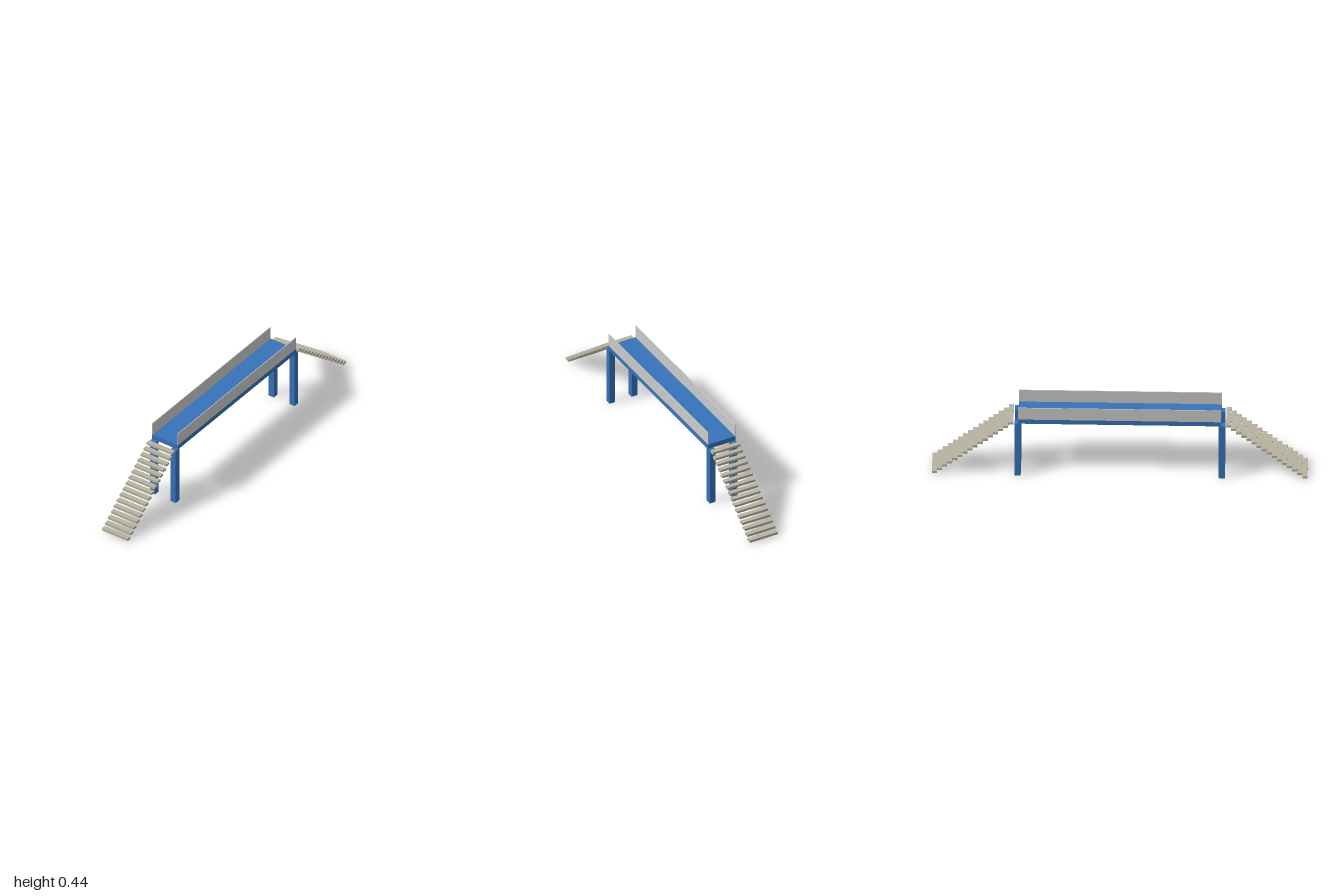
import * as THREE from 'three';

export function createModel() {
  const model = new THREE.Group();
  model.name = 'footbridge';
  const blue = new THREE.MeshStandardMaterial({ color: 0x3773b9 });
  const stone = new THREE.MeshStandardMaterial({ color: 0xb8b2a2 });
  const grey = new THREE.MeshStandardMaterial({ color: 0xcccccc });

  const box = (name, material, size, position, parent = model) => {
    const mesh = new THREE.Mesh(new THREE.BoxGeometry(...size), material);
    mesh.name = name;
    mesh.position.set(...position);
    parent.add(mesh);
  };

  const width = 0.169;
  const deckBottom = 0.339, deckTop = 0.366, deckLength = 1.081;
  const leg = 0.034;

  // Walkway
  box('deck', blue, [width, deckTop - deckBottom, deckLength], [0, (deckTop + deckBottom) / 2, 0]);

  // Side panels along the walkway
  const railHeight = 0.075, railThickness = 0.004;
  for (const side of [-1, 1]) {
    box('railing', grey, [railThickness, railHeight, deckLength],
      [side * (width - railThickness) / 2, deckTop + railHeight / 2, 0]);
  }

  // Square legs at the four corners, half under the deck
  for (const x of [-1, 1]) {
    for (const z of [-1, 1]) {
      box('leg', blue, [leg, deckBottom, leg],
        [x * (width - leg) / 2, deckBottom / 2, z * 0.544]);
    }
  }

  // Open flights of separate treads at both ends
  const steps = 16, tread = 0.0271, rise = 0.02167;
  for (const end of [1, -1]) {
    const stairs = new THREE.Group();
    stairs.name = end > 0 ? 'frontStairs' : 'backStairs';
    for (let i = 0; i < steps; i++) {
      box('step', stone, [width, 0.0135, tread],
        [0, 0.0138 + i * rise, end * (1 - tread * (i + 0.5))], stairs);
    }
    model.add(stairs);
  }
  return model;
}
